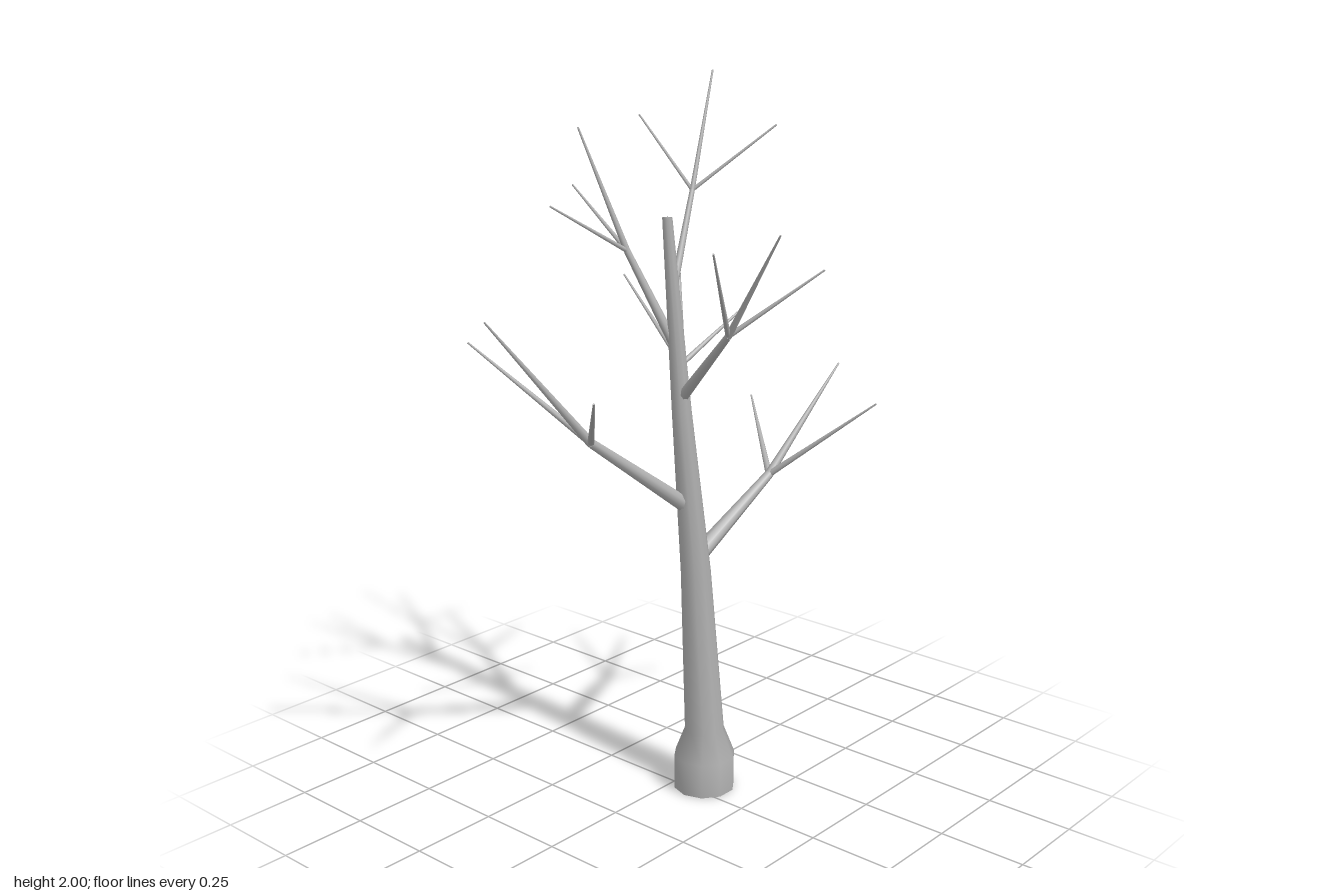
import * as THREE from 'three';

const bark = new THREE.MeshStandardMaterial({ color: 0xb0b0b0, side: THREE.DoubleSide });
bark.name = 'grey bark';

// Centre line of the leaning trunk at a given height
const lean = [[0, 0.042, 0.077], [0.18, 0.042, 0.077], [0.65, 0.037, 0.047], [1.1, 0.031, 0.0], [1.63, 0.026, -0.048]];
function centreAt(y) {
  let i = 0;
  while (i < lean.length - 2 && y > lean[i + 1][0]) i++;
  const [y0, x0, z0] = lean[i], [y1, x1, z1] = lean[i + 1];
  const t = (y - y0) / (y1 - y0);
  return [x0 + (x1 - x0) * t, z0 + (z1 - z0) * t];
}

// Flared base and tapering trunk, open underneath
function makeTrunk() {
  const profile = [[0.088, 0], [0.088, 0.1], [0.057, 0.18], [0.043, 0.65], [0.028, 1.1], [0.014, 1.63], [0.0001, 1.63]];
  const geo = new THREE.LatheGeometry(profile.map(([r, y]) => new THREE.Vector2(r, y)), 10, Math.PI / 10);
  const pos = geo.attributes.position;
  for (let i = 0; i < pos.count; i++) {
    const [cx, cz] = centreAt(pos.getY(i));
    pos.setXYZ(i, pos.getX(i) + cx, pos.getY(i), pos.getZ(i) + cz);
  }
  const mesh = new THREE.Mesh(geo, bark);
  mesh.name = 'trunk';
  return mesh;
}

// Tapered stick between two points
function stick(name, from, to, r0, r1) {
  const a = new THREE.Vector3(...from), b = new THREE.Vector3(...to);
  const dir = b.clone().sub(a);
  const mesh = new THREE.Mesh(new THREE.CylinderGeometry(r1, r0, dir.length(), 8), bark);
  mesh.position.copy(a).add(b).multiplyScalar(0.5);
  mesh.quaternion.setFromUnitVectors(new THREE.Vector3(0, 1, 0), dir.normalize());
  mesh.name = name;
  return mesh;
}

// Each branch: start, fork, radii at both, and its three twig tips (leading twig first)
const branches = [
  { name: 'lowerLeftBranch', start: [0.05, 0.69, 0.042], fork: [0.33, 0.87, 0.072], r: [0.025, 0.013],
    tips: [[0.605, 1.155, 0.11], [0.475, 1.095, 0.335], [0.523, 1.03, -0.15]] },
  { name: 'lowerRightBranch', start: [0.025, 0.84, 0.02], fork: [-0.288, 1.075, -0.038], r: [0.023, 0.013],
    tips: [[-0.605, 1.44, -0.086], [-0.542, 1.275, 0.22], [-0.408, 1.315, -0.37]] },
  { name: 'rearLeftBranch', start: [0.035, 0.98, 0.01], fork: [0.18, 1.19, -0.13], r: [0.02, 0.011],
    tips: [[0.32, 1.485, -0.264], [0.425, 1.333, -0.09], [0.21, 1.413, -0.378]] },
  { name: 'frontBranch', start: [0.03, 1.14, -0.002], fork: [0.0, 1.345, 0.187], r: [0.017, 0.01],
    tips: [[-0.031, 1.633, 0.377], [-0.213, 1.602, 0.312], [0.163, 1.52, 0.373]] },
  { name: 'rearRightBranch', start: [0.028, 1.28, -0.02], fork: [-0.04, 1.54, -0.134], r: [0.014, 0.009],
    tips: [[-0.112, 1.865, -0.24], [-0.283, 1.68, -0.177], [0.0, 1.692, -0.374]] },
  { name: 'upperLeftBranch', start: [0.028, 1.43, -0.03], fork: [0.157, 1.688, -0.073], r: [0.011, 0.007],
    tips: [[0.281, 2.0, -0.107], [0.335, 1.86, 0.075], [0.205, 1.873, -0.31]] },
];

export function createModel() {
  const tree = new THREE.Group();
  tree.name = 'bareTree';
  tree.add(makeTrunk());
  for (const { name, start, fork, r, tips } of branches) {
    const group = new THREE.Group();
    group.name = name;
    group.add(stick('limb', start, fork, r[0], r[1]));
    tips.forEach((tip, i) => group.add(stick(i ? 'sideTwig' : 'leadingTwig', fork, tip, r[1] * (i ? 0.75 : 1), 0.0025)));
    tree.add(group);
  }
  return tree;
}
